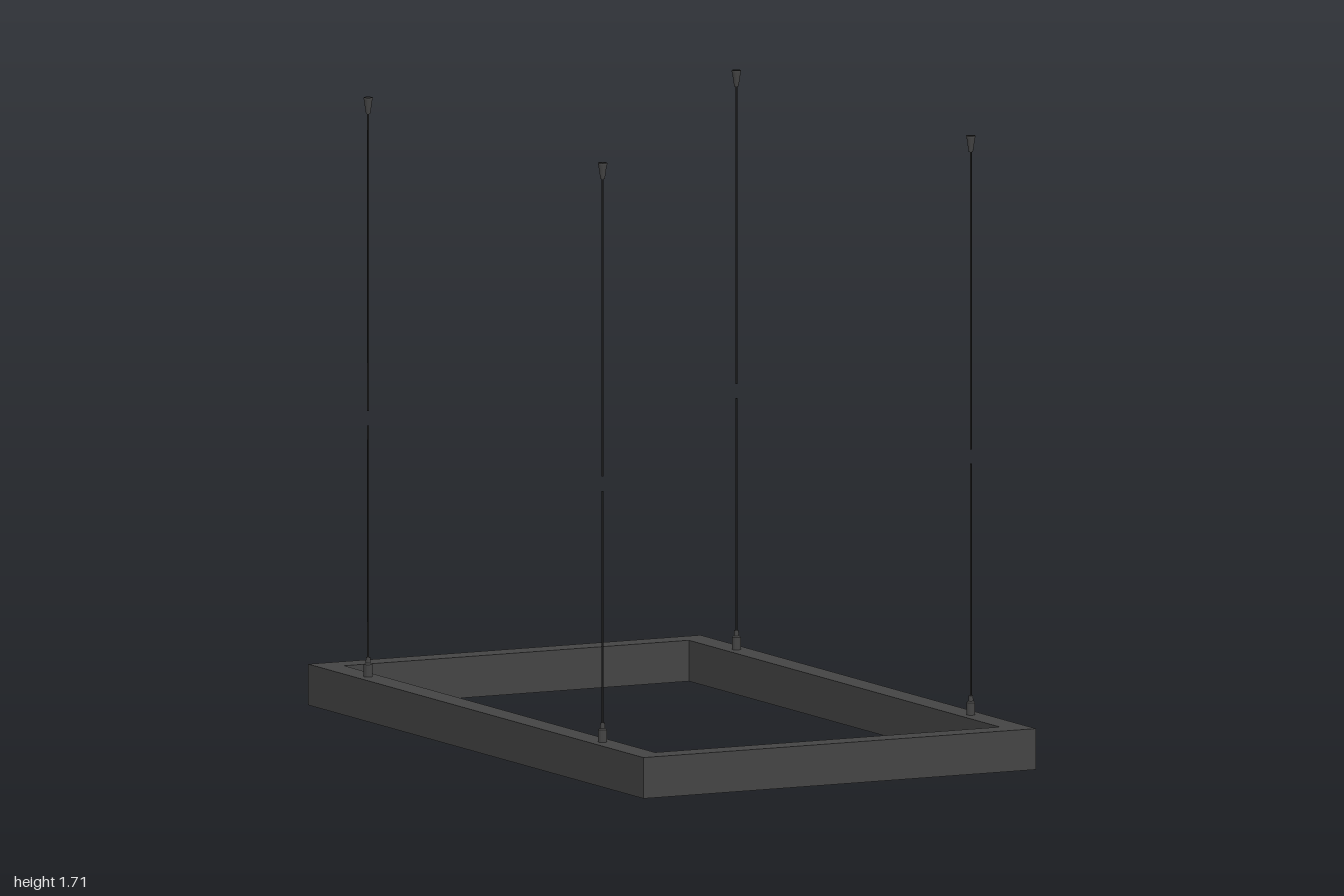
import * as THREE from 'three';
import { mergeGeometries } from 'three/addons/utils/BufferGeometryUtils.js';

const HALF_W = 0.602, HALF_D = 1, HEIGHT = 0.113, BAND = 0.073;

// Sweep a profile of [inset, y] points round the mitred rectangle
function sweepRect(profile, closed, material, name) {
  const corners = [[1, 1], [1, -1], [-1, -1], [-1, 1]];
  const at = ([sx, sz], [inset, y]) => [sx * (HALF_W - inset), y, sz * (HALF_D - inset)];
  const pos = [];
  const spans = closed ? profile.length : profile.length - 1;
  for (let c = 0; c < 4; c++) {
    for (let i = 0; i < spans; i++) {
      const p = profile[i], q = profile[(i + 1) % profile.length];
      const a = at(corners[c], p), b = at(corners[(c + 1) % 4], p);
      const d = at(corners[c], q), e = at(corners[(c + 1) % 4], q);
      pos.push(...a, ...b, ...e, ...a, ...e, ...d);
    }
  }
  const geo = new THREE.BufferGeometry();
  geo.setAttribute('position', new THREE.Float32BufferAttribute(pos, 3));
  geo.computeVertexNormals();
  const mesh = new THREE.Mesh(geo, material);
  mesh.name = name;
  return mesh;
}

function paint(name, color) {
  const material = new THREE.MeshStandardMaterial({ color });
  material.name = name;
  return material;
}

export function createModel() {
  const group = new THREE.Group();
  group.name = 'pendantLight';
  const frameMat = paint('charcoal metal', 0x444444);
  const cableMat = paint('black cable', 0x222222);
  const stripMat = paint('white strip', 0xe8e6dc);
  const chipMat = paint('yellow light chip', 0xf0d860);

  // Hollow frame: a shallow channel open at the bottom
  const wall = 0.01, ceiling = 0.012;
  group.add(sweepRect([
    [0, 0], [0, HEIGHT], [BAND, HEIGHT], [BAND, 0],
    [BAND - wall, 0], [BAND - wall, ceiling], [wall, ceiling], [wall, 0],
  ], true, frameMat, 'frame'));

  // Light strip along the channel
  const stripY = ceiling - 0.006;
  group.add(sweepRect([
    [0.06, ceiling], [0.06, stripY], [0.013, stripY], [0.013, ceiling],
  ], false, stripMat, 'lightStrip'));

  // Row of small light chips along each run of the strip
  const mid = BAND / 2, cx = HALF_W - mid, cz = HALF_D - mid;
  const chips = [];
  const addChip = (x, z) =>
    chips.push(new THREE.BoxGeometry(0.014, 0.003, 0.014).translate(x, stripY - 0.0015, z));
  const nx = 28, nz = 46;
  for (const s of [1, -1]) {
    for (let i = 0; i < nx; i++) addChip(-cx + (2 * cx * (i + 0.5)) / nx, s * cz);
    for (let i = 0; i < nz; i++) addChip(s * cx, -cz + (2 * cz * (i + 0.5)) / nz);
  }
  const chipRow = new THREE.Mesh(mergeGeometries(chips), chipMat);
  chipRow.name = 'lightChips';
  group.add(chipRow);

  // Suspension: gripper, cable with a gap, ceiling cone with a dark cap
  const lathe = (pts) => {
    const geo = new THREE.LatheGeometry(pts.map(([r, y]) => new THREE.Vector2(r, y)), 16).toNonIndexed();
    geo.computeVertexNormals();
    return geo;
  };
  const gripperGeo = lathe([[0, 0], [0.012, 0], [0.012, 0.034], [0.007, 0.038], [0.006, 0.053], [0, 0.053]]);
  const coneGeo = lathe([[0, 0], [0.006, 0], [0.012, 0.04], [0.013, 0.04], [0.013, 0.044], [0, 0.044]]);
  const capGeo = new THREE.CylinderGeometry(0.012, 0.012, 0.002, 16);

  const part = (geo, material, y, name) => {
    const mesh = new THREE.Mesh(geo, material);
    mesh.position.y = y;
    mesh.name = name;
    return mesh;
  };
  const cable = (y0, y1, name) =>
    part(new THREE.CylinderGeometry(0.003, 0.003, y1 - y0, 8), cableMat, (y0 + y1) / 2, name);

  for (const x of [-0.565, 0.565]) {
    for (const z of [-0.714, 0.684]) {
      const hanger = new THREE.Group();
      hanger.name = 'hanger';
      hanger.add(
        part(gripperGeo, frameMat, HEIGHT, 'cableGripper'),
        part(coneGeo, frameMat, 1.665, 'ceilingCone'),
        part(capGeo, cableMat, 1.709, 'coneCap'),
        cable(0.16, 0.805, 'lowerCable'),
        cable(0.845, 1.67, 'upperCable'),
      );
      hanger.position.set(x, 0, z);
      group.add(hanger);
    }
  }
  return group;
}
